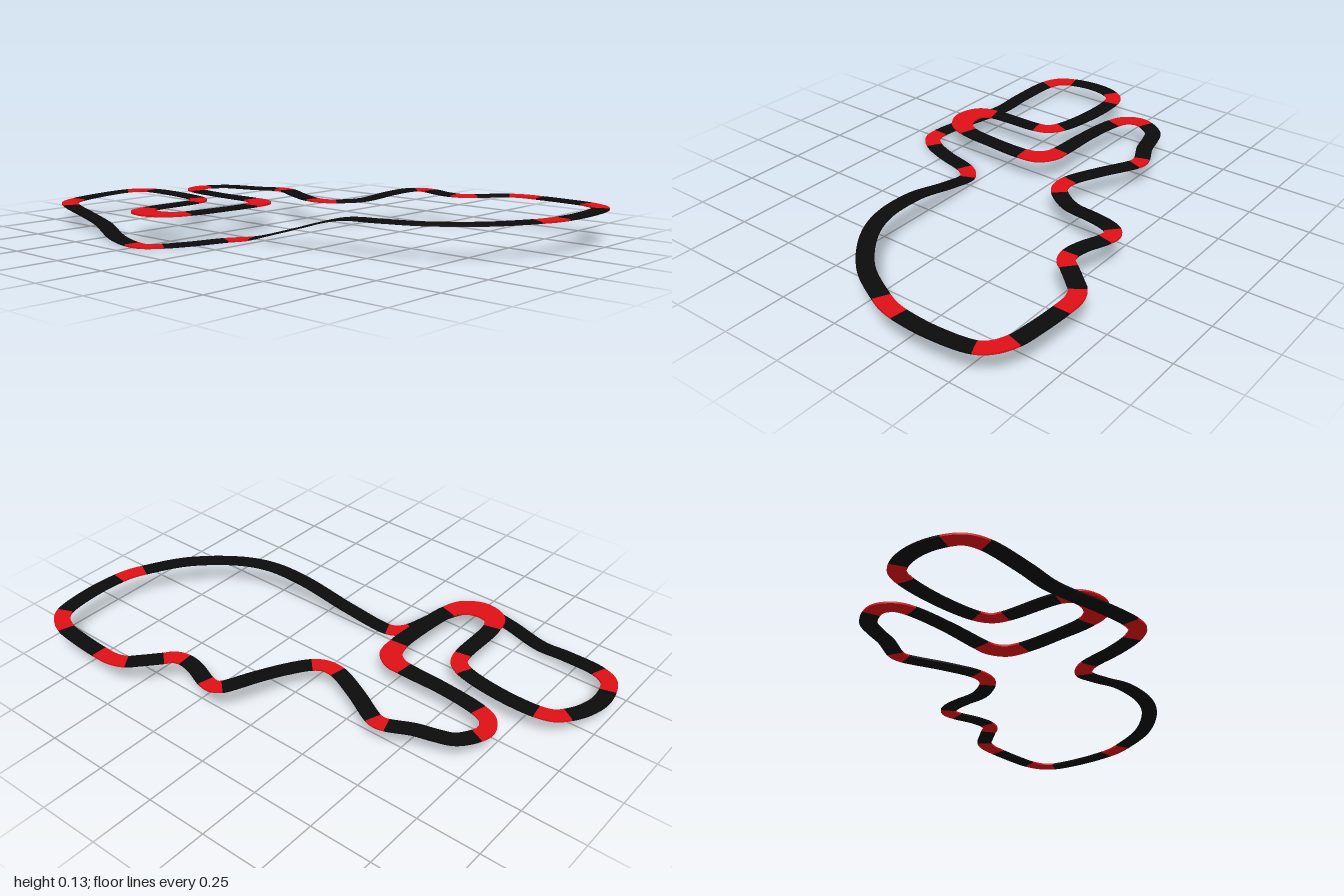
import * as THREE from 'three';

const THICK = 0.007, STEPS = 10;
const black = new THREE.MeshStandardMaterial({ color: 0x0b0b0b });
const red = new THREE.MeshStandardMaterial({ color: 0xdd1015 });

// Centre line of the circuit: [x, z, height, half width];
// height and half width carry over from the point before when left out.
const knots = [], sections = [];
function add(name, material, pts) {
  sections.push({ name, material, start: knots.length, count: pts.length });
  for (const [x, z, y, w = 0.032] of pts) {
    knots.push({ x, z, w, y: y ?? knots[knots.length - 1].y });
  }
}
const corner = (name, ...pts) => add(name, red, pts);
const straight = (name, ...pts) => add(name, black, pts);

function layOutCircuit() {
  knots.length = sections.length = 0;
  // Back loop
  corner('backLeftCorner', [-0.505, -0.87, 0.072], [-0.47, -0.93, 0.076]);
  straight('backStraight', [-0.41, -0.957, 0.079], [-0.33, -0.966, 0.083], [-0.245, -0.95, 0.09]);
  corner('backRightCorner', [-0.18, -0.92, 0.096], [-0.14, -0.885, 0.099]);
  straight('innerDescent', [-0.12, -0.825, 0.101], [-0.12, -0.66]);
  corner('innerCorner', [-0.152, -0.495], [-0.185, -0.447]);
  straight('hairpinApproach', [-0.235, -0.43]);
  corner('hairpin', [-0.455, -0.42, 0.101, 0.034], [-0.517, -0.39, 0.101, 0.045],
    [-0.533, -0.32, 0.101, 0.05], [-0.5, -0.255, 0.101, 0.045]);
  straight('hairpinExit', [-0.438, -0.222, 0.101, 0.036], [-0.285, -0.203, 0.101, 0.034]);
  corner('wideCorner', [-0.137, -0.198, 0.101, 0.037], [-0.065, -0.215, 0.101, 0.044],
    [-0.03, -0.26, 0.101, 0.041]);
  straight('middleStraight', [-0.022, -0.31, 0.101, 0.036], [-0.016, -0.5]);
  corner('crestCorner', [0.005, -0.66], [0.03, -0.715], [0.08, -0.742]);
  // Winding right side, climbing to the upper level
  straight('sweep', [0.127, -0.732], [0.19, -0.685], [0.216, -0.62], [0.237, -0.545]);
  corner('kink', [0.28, -0.455], [0.286, -0.425]);
  straight('rightDescent', [0.28, -0.395], [0.206, -0.255]);
  corner('leftHander', [0.153, -0.13], [0.153, -0.068]);
  straight('climb', [0.18, -0.025], [0.27, 0.035, 0.103], [0.4, 0.077, 0.121], [0.475, 0.1, 0.128]);
  corner('chicaneEntry', [0.515, 0.12, 0.129], [0.533, 0.148]);
  straight('chicaneLink', [0.528, 0.19], [0.495, 0.278]);
  corner('chicaneExit', [0.486, 0.34], [0.5, 0.385]);
  straight('shortLink', [0.53, 0.41], [0.6, 0.472]);
  corner('rightBend', [0.632, 0.503], [0.653, 0.553]);
  straight('rightStraight', [0.656, 0.63], [0.647, 0.77]);
  corner('frontRightCorner', [0.636, 0.845], [0.605, 0.91]);
  straight('frontStraight', [0.56, 0.945], [0.41, 0.967]);
  corner('frontBend', [0.264, 0.96], [0.205, 0.947]);
  // Long curve up the left side, dropping to the ground
  straight('longCurve', [0.153, 0.925], [-0.01, 0.83], [-0.153, 0.664], [-0.206, 0.53],
    [-0.222, 0.357, 0.119], [-0.253, 0.135, 0.057]);
  corner('lowBend', [-0.29, -0.03, 0.01], [-0.317, -0.07, 0.005]);
  straight('lowStraight', [-0.36, -0.098, 0.004], [-0.496, -0.135]);
  corner('lowCorner', [-0.596, -0.177], [-0.648, -0.225]);
  straight('leftClimb', [-0.655, -0.283, 0.006], [-0.628, -0.405, 0.012],
    [-0.554, -0.595, 0.035], [-0.536, -0.71, 0.053]);
}

// Four corners of the road's cross-section at knot position u
function crossSection(curve, u) {
  const n = knots.length, i = Math.floor(u) % n;
  const p = curve.getPoint((u / n) % 1), t = curve.getTangent((u / n) % 1);
  const side = new THREE.Vector3(-t.z, 0, t.x).normalize();
  const w = THREE.MathUtils.lerp(knots[i].w, knots[(i + 1) % n].w, u - Math.floor(u));
  return [[1, 1], [-1, 1], [-1, -1], [1, -1]].map(([s, v]) => {
    const q = p.clone().addScaledVector(side, s * w);
    q.y = Math.max(0, q.y + v * THICK / 2);
    return q;
  });
}

// Road slab from cross-sections, each of its four faces with its own vertices
function roadGeometry(curve, start, count) {
  const rings = [], pos = [], index = [];
  for (let k = 0; k <= count * STEPS; k++) rings.push(crossSection(curve, start + k / STEPS));
  for (let f = 0; f < 4; f++) {
    const base = pos.length / 3;
    rings.forEach((r, k) => {
      pos.push(...r[f].toArray(), ...r[(f + 1) % 4].toArray());
      if (k === 0) return;
      const a = base + 2 * (k - 1);
      index.push(a, a + 2, a + 3, a, a + 3, a + 1);
    });
  }
  const g = new THREE.BufferGeometry();
  g.setAttribute('position', new THREE.Float32BufferAttribute(pos, 3));
  g.setIndex(index);
  g.computeVertexNormals();
  return g;
}

export function createModel() {
  layOutCircuit();
  const group = new THREE.Group();
  group.name = 'raceCircuit';
  const curve = new THREE.CatmullRomCurve3(
    knots.map(k => new THREE.Vector3(k.x, k.y, k.z)), true, 'centripetal');
  for (const s of sections) {
    const mesh = new THREE.Mesh(roadGeometry(curve, s.start, s.count), s.material);
    mesh.name = s.name;
    group.add(mesh);
  }
  return group;
}
